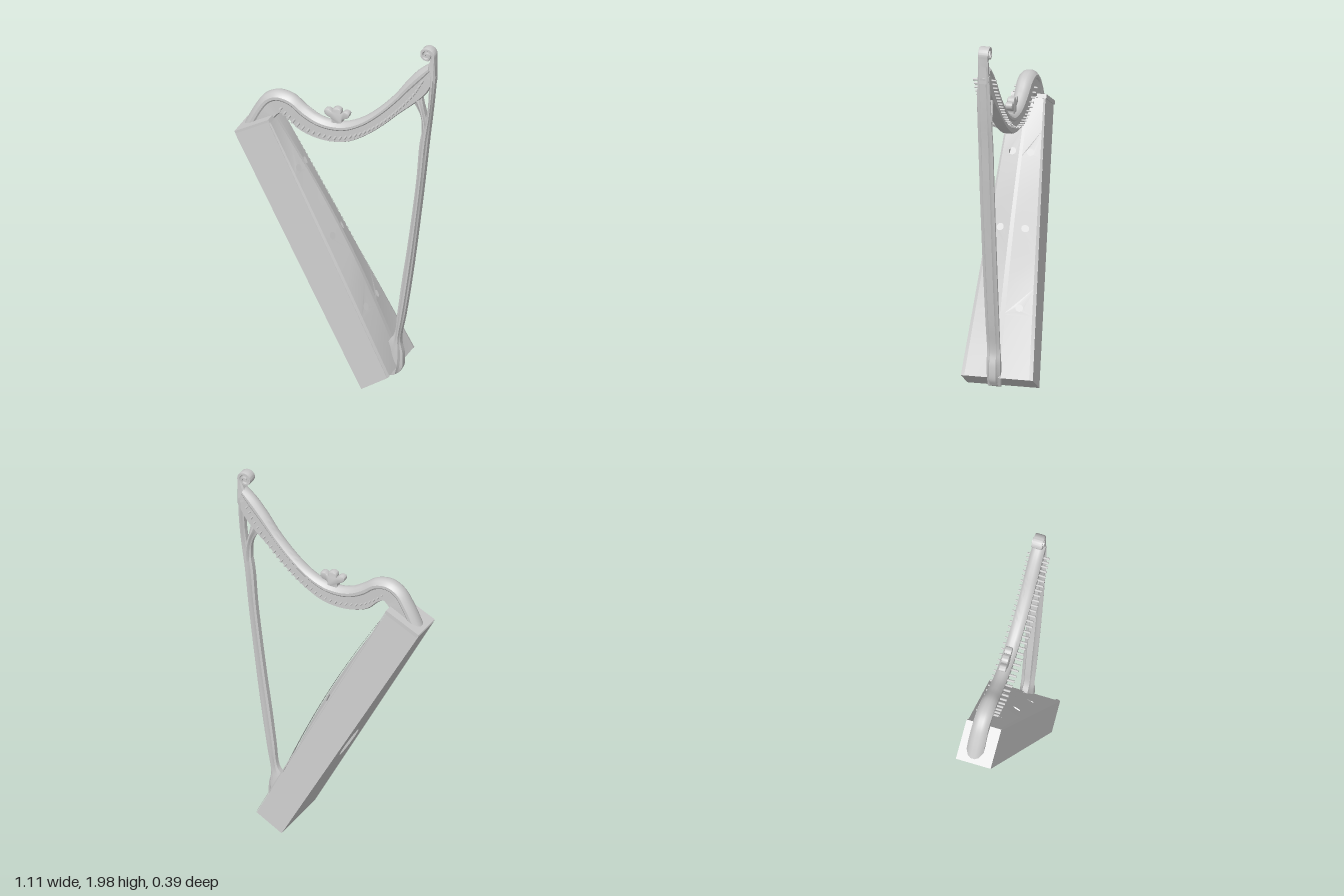
import * as THREE from 'three';
import { mergeGeometries, toCreasedNormals } from 'three/addons/utils/BufferGeometryUtils.js';

const { lerp } = THREE.MathUtils;
const solid = new THREE.MeshStandardMaterial({ color: 0xcccccc });
const shell = new THREE.MeshStandardMaterial({ color: 0xcccccc, side: THREE.DoubleSide });

// The neck and pillar lean slightly out of the box's centre plane
const planeZ = (x) => 0.006 + 0.036 * x;

// Cross-sections as [fraction from lower to upper edge, half-width factor]
const NECK = [[0, 0.55], [0.05, 0.85], [0.62, 0.85], [0.68, 1], [0.8, 1], [0.86, 0.86], [0.95, 0.62], [1, 0.25]];
const PILLAR = [[0, 0.45], [0.15, 0.6], [0.25, 0.95], [0.45, 1], [0.6, 0.85], [0.75, 0.55], [1, 0.4]];
const SCROLL = [[0, 0.7], [0.15, 1], [0.75, 1], [1, 0.75]];

function add(group, name, geometry, material = solid) {
  const mesh = new THREE.Mesh(geometry, material);
  mesh.name = name;
  group.add(mesh);
  return mesh;
}

// Sweeps a section between two edges; keys are [lowerX, lowerY, upperX, upperY, halfWidth]
function loft(keys, section, steps) {
  const low = new THREE.CatmullRomCurve3(keys.map((k) => new THREE.Vector3(k[0], k[1], k[4])));
  const up = new THREE.CatmullRomCurve3(keys.map((k) => new THREE.Vector3(k[2], k[3], 0)));
  const ring = [...section, ...section.map(([f, w]) => [f, -w]).reverse()];
  const n = ring.length, pos = [], idx = [];
  for (let i = 0; i <= steps; i++) {
    const a = low.getPoint(i / steps), b = up.getPoint(i / steps);
    for (const [f, w] of ring) {
      const x = lerp(a.x, b.x, f);
      pos.push(x, lerp(a.y, b.y, f), planeZ(x) + w * a.z);
    }
  }
  for (let i = 0; i < steps; i++) {
    for (let j = 0; j < n; j++) {
      const k = (j + 1) % n, p = i * n, q = p + n;
      idx.push(p + j, q + j, q + k, p + j, q + k, p + k);
    }
  }
  // End caps, as strips across the two mirrored halves
  const end = steps * n;
  for (let j = 0; j < section.length - 1; j++) {
    const a = j, b = j + 1, c = n - 2 - j, d = n - 1 - j;
    idx.push(a, b, c, a, c, d, end + a, end + c, end + b, end + a, end + d, end + c);
  }
  const g = new THREE.BufferGeometry();
  g.setAttribute('position', new THREE.Float32BufferAttribute(pos, 3));
  g.setIndex(idx);
  return toCreasedNormals(g, 0.55);
}

// Flat bands in (v, t), pierced by elliptical holes [v, t, rv, rt], then bent by map(v, t)
function panel(v0, v1, bands, holes, map) {
  const parts = [];
  for (let i = 0; i < bands; i++) {
    const a = i / bands, b = (i + 1) / bands;
    const s = new THREE.Shape([[v0, a], [v1, a], [v1, b], [v0, b]].map((p) => new THREE.Vector2(...p)));
    for (const [v, t, rv, rt] of holes) {
      if (v > v0 && v < v1 && t > a && t < b) s.holes.push(new THREE.Path().absellipse(v, t, rv, rt, 0, Math.PI * 2));
    }
    parts.push(new THREE.ShapeGeometry(s, 10));
  }
  const g = mergeGeometries(parts);
  const p = g.attributes.position;
  for (let i = 0; i < p.count; i++) p.setXYZ(i, ...map(p.getX(i), p.getY(i)));
  return toCreasedNormals(g, 0.3);
}

// Soundbox surfaces: t runs from top to bottom, v across the width
const halfWidth = (t) => lerp(0.092, 0.193, t);
const board = (v, t, lift = 0) => {
  const h = 0.044 * Math.sin(Math.PI * t) * (1 - Math.abs(v)) + lift;
  return [lerp(-0.37, 0.335, t) + 0.88 * h, lerp(1.42, 0.1, t) + 0.47 * h, v * halfWidth(t)];
};
const back = (v, t) => [lerp(-0.555, 0.19, t), lerp(1.32, 0.01, t), v * halfWidth(t)];
const between = (v, t, f) => {
  const a = back(v, t), b = board(v, t);
  return a.map((c, i) => lerp(c, b[i], f));
};

function makeSoundbox() {
  const box = new THREE.Group();
  box.name = 'soundbox';
  for (const side of [-1, 1]) {
    const holes = [[0.43, 0.2], [0.48, 0.47], [0.48, 0.75]].map(([v, t]) => [side * v, t, 0.02 / halfWidth(t), 0.013]);
    add(box, 'soundboardHalf', panel(Math.min(0, side), Math.max(0, side), 9, holes, (v, t) => board(v, t)), shell);
    add(box, 'sidePanel', panel(0, 1, 1, [], (f, t) => between(side, t, f)), shell);
    // Raised trim beside the edge of the soundboard
    add(box, 'edgeTrim', panel(0.9, 1, 12, [], (v, t) => board(side * v, t, v > 0.95 ? 0.002 : 0.007)), shell);
  }
  add(box, 'backPanel', panel(-1, 1, 1, [[0, 0.6, 0.42, 0.062]], back), shell);
  add(box, 'bottomPanel', panel(-1, 1, 1, [], (v, f) => between(v, 1, f)), shell);
  add(box, 'topPanel', panel(-1, 1, 1, [], (v, f) => between(v, 0, f)), shell);
  // Narrow rib down the middle of the soundboard
  add(box, 'stringRib', panel(-0.08, 0.08, 18, [], (v, t) => board(v, t, 0.008)), shell);
  const plate = add(box, 'topPlate', new THREE.BoxGeometry(0.215, 0.022, 0.19));
  plate.position.set(-0.46, 1.374, -0.003);
  plate.rotation.z = 0.49;
  return box;
}

function makeFrame() {
  const frame = new THREE.Group();
  frame.name = 'frame';
  add(frame, 'neck', loft([
    [-0.37, 1.4, -0.55, 1.32, 0.046], [-0.355, 1.425, -0.485, 1.45, 0.046],
    [-0.34, 1.44, -0.43, 1.53, 0.044], [-0.325, 1.45, -0.36, 1.567, 0.044],
    [-0.29, 1.43, -0.27, 1.558, 0.042], [-0.23, 1.375, -0.19, 1.505, 0.038],
    [-0.14, 1.343, -0.12, 1.467, 0.036], [-0.05, 1.336, -0.05, 1.453, 0.035],
    [0.05, 1.355, 0.03, 1.46, 0.035], [0.15, 1.41, 0.12, 1.5, 0.035],
    [0.25, 1.49, 0.21, 1.57, 0.035], [0.35, 1.585, 0.31, 1.675, 0.035],
    [0.43, 1.655, 0.38, 1.77, 0.036], [0.5, 1.73, 0.445, 1.845, 0.036],
    [0.54, 1.81, 0.505, 1.895, 0.034],
  ], NECK, 84));
  add(frame, 'pillar', loft([
    [0.34, 0.06, 0.27, 0.03, 0.036], [0.358, 0.095, 0.26, 0.13, 0.038],
    [0.36, 0.17, 0.28, 0.23, 0.038], [0.346, 0.25, 0.312, 0.28, 0.036],
    [0.372, 0.4, 0.33, 0.41, 0.037], [0.403, 0.6, 0.357, 0.61, 0.038],
    [0.43, 0.8, 0.387, 0.81, 0.039], [0.478, 1.2, 0.437, 1.2, 0.04],
    [0.505, 1.45, 0.46, 1.45, 0.04], [0.523, 1.6, 0.497, 1.6, 0.038],
    [0.536, 1.72, 0.508, 1.72, 0.036], [0.546, 1.83, 0.505, 1.85, 0.032],
  ], PILLAR, 60));
  // Inner fork of the pillar curving into the neck
  add(frame, 'pillarBranch', loft([
    [0.495, 1.4, 0.458, 1.4, 0.036], [0.5, 1.54, 0.468, 1.5, 0.036],
    [0.482, 1.62, 0.46, 1.59, 0.034], [0.468, 1.69, 0.42, 1.66, 0.03],
  ], PILLAR, 16));

  // Scroll: a stem that winds into a tapering spiral
  const keys = [[0.545, 1.8, 0.49, 1.83, 0.03], [0.545, 1.87, 0.503, 1.885, 0.027]];
  for (let i = 0; i <= 16; i++) {
    const t = i / 16, a = -0.35 + t * 9.5, r = lerp(0.049, 0.013, t), inner = r - lerp(0.021, 0.009, t);
    const c = Math.cos(a), s = Math.sin(a);
    keys.push([0.499 + r * c, 1.951 + r * s, 0.499 + inner * c, 1.951 + inner * s, lerp(0.026, 0.034, t)]);
  }
  add(frame, 'scroll', loft(keys, SCROLL, 90));
  const web = add(frame, 'scrollCore', new THREE.CylinderGeometry(0.034, 0.034, 0.04, 24));
  web.rotation.x = Math.PI / 2;
  web.position.set(0.499, 1.951, planeZ(0.5));

  // Three-lobed ornament on top of the neck
  const half = [[-0.025, 0], [-0.028, 0.035], [-0.058, 0.05], [-0.066, 0.073], [-0.045, 0.08], [-0.022, 0.063], [-0.02, 0.085]];
  const outline = [...half, [0, 0.094], ...half.map(([x, y]) => [-x, y]).reverse()];
  const crest = new THREE.ExtrudeGeometry(
    new THREE.Shape(new THREE.SplineCurve(outline.map((p) => new THREE.Vector2(...p))).getPoints(60)),
    { depth: 0.026, bevelSize: 0.004, bevelThickness: 0.006, bevelSegments: 2 });
  add(frame, 'crest', toCreasedNormals(crest, 0.6)).position.set(-0.015, 1.438, -0.008);
  return frame;
}

// Tuning pins pass through the neck: stout ends at the front, thin ends behind
function makePins() {
  const pins = new THREE.Group();
  pins.name = 'tuningPins';
  const row = new THREE.CatmullRomCurve3([
    [-0.32, 1.485], [-0.27, 1.445], [-0.2, 1.4], [-0.1, 1.376], [0, 1.376], [0.1, 1.412],
    [0.2, 1.475], [0.3, 1.565], [0.39, 1.665], [0.44, 1.73], [0.48, 1.8],
  ].map(([x, y]) => new THREE.Vector3(x, y, planeZ(x))));
  const front = new THREE.CylinderGeometry(0.007, 0.006, 0.068, 8).rotateX(Math.PI / 2).translate(0, 0, 0.034);
  const rear = new THREE.CylinderGeometry(0.005, 0.005, 0.055, 8).rotateX(Math.PI / 2).translate(0, 0, -0.0275);
  for (const p of row.getSpacedPoints(33)) {
    add(pins, 'pinFront', front).position.copy(p);
    add(pins, 'pinRear', rear).position.copy(p);
  }
  return pins;
}

export function createModel() {
  const harp = new THREE.Group();
  harp.name = 'harp';
  harp.add(makeSoundbox(), makeFrame(), makePins());
  return harp;
}
